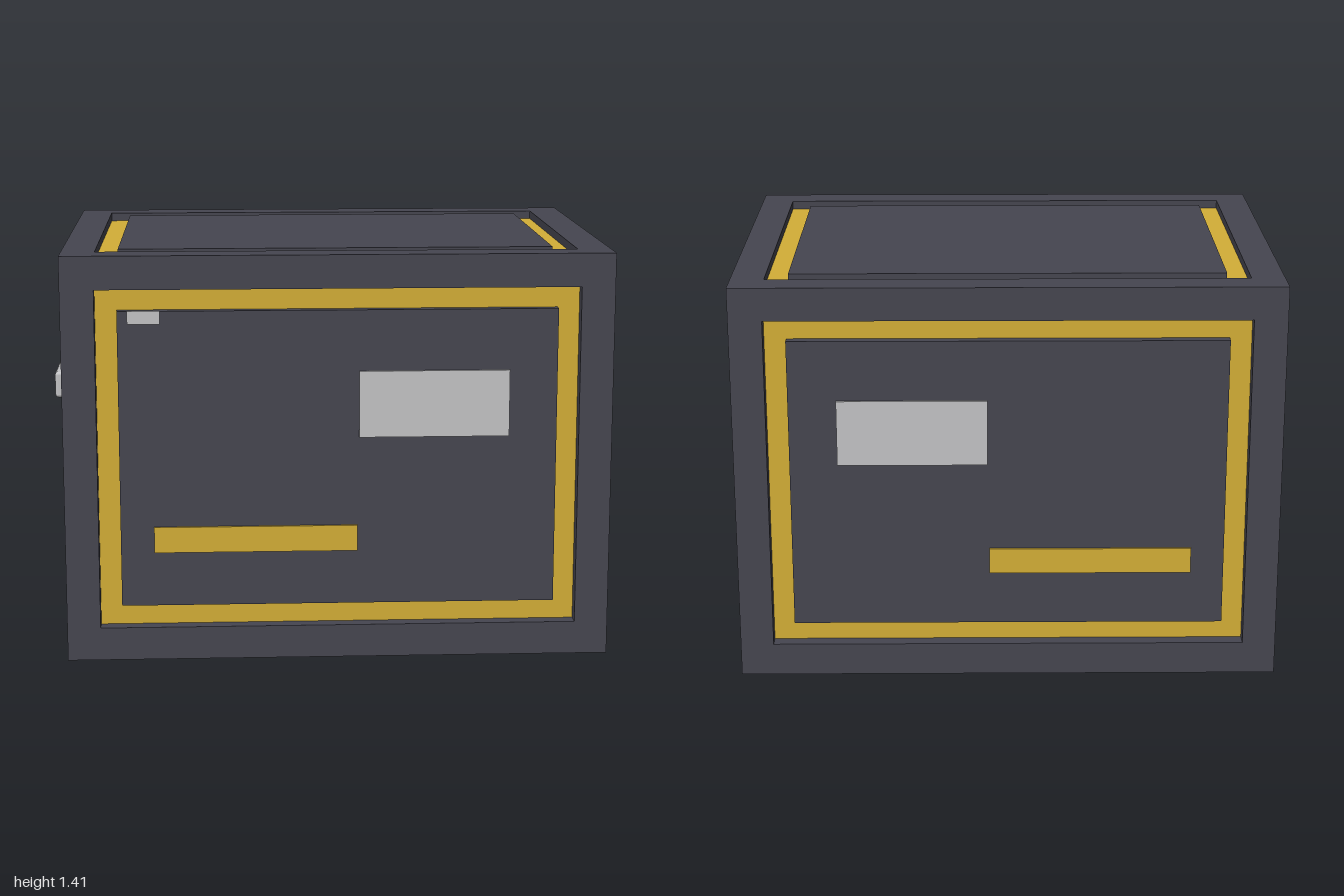
import * as THREE from 'three';
import { RoundedBoxGeometry } from 'three/addons/geometries/RoundedBoxGeometry.js';

const W = 1.88, H = 1.41, D = 1.41; // outer frame size
const T = 0.115;                    // frame bar thickness
const INSET = 0.19;                 // panel margin from the outer edge

export function createModel() {
  const crate = new THREE.Group();
  crate.name = 'crate';
  const material = (name, color) => {
    const m = new THREE.MeshStandardMaterial({ color });
    m.name = name;
    return m;
  };
  const dark = material('dark grey', 0x464650);
  const gold = material('gold', 0xd4af37);
  const silver = material('silver', 0xc4c4c6);

  const add = (name, geometry, mat, x, y, z) => {
    const mesh = new THREE.Mesh(geometry, mat);
    mesh.name = name;
    mesh.position.set(x, y, z);
    crate.add(mesh);
  };
  const box = (name, mat, w, h, d, x, y, z) =>
    add(name, new THREE.BoxGeometry(w, h, d), mat, x, y, z);

  // Frame: twelve bars that meet without overlapping
  const bx = (W - T) / 2, by = (H - T) / 2, bz = (D - T) / 2, cy = H / 2;
  for (const a of [-1, 1]) for (const b of [-1, 1]) {
    box('frameLengthBar', dark, W, T, T, 0, cy + a * by, b * bz);
    box('framePost', dark, T, H - 2 * T, T, a * bx, cy, b * bz);
    box('frameDepthBar', dark, T, T, D - 2 * T, a * bx, cy + b * by, 0);
  }

  // Gold core, set a little high so the underside is recessed deeper
  box('core', gold, W - 0.1, H - 0.1, D - 0.1, 0, cy + 0.02, 0);

  // Raised panels on the sides and top
  const pw = W - 2 * INSET, ph = H - 2 * INSET, pd = D - 2 * INSET;
  box('topPanel', dark, pw, 0.035, pd, 0, H - 0.0185, 0);
  for (const s of [-1, 1]) {
    box('facePanel', dark, pw, ph, 0.04, 0, cy, s * (D / 2 - 0.035));
    box('sidePanel', dark, 0.04, ph, pd, s * (W / 2 - 0.035), cy, 0);

    // Plate and stripe on the front and back
    const z = s * (D / 2 - 0.0105);
    box('labelPlate', silver, 0.515, 0.23, 0.009, 0.328, 0.895, z);
    box('stripe', gold, 0.7, 0.09, 0.009, -0.285, 0.425, z);

    // Carrying handle
    add('handle', new RoundedBoxGeometry(0.085, 0.095, 0.42, 2, 0.012), silver,
      s * 0.9575, 0.878, 0);
  }

  // Small tag in the front panel's upper corner
  box('tag', silver, 0.11, 0.045, 0.017, -0.66, 1.2, D / 2 - 0.0085);

  return crate;
}
